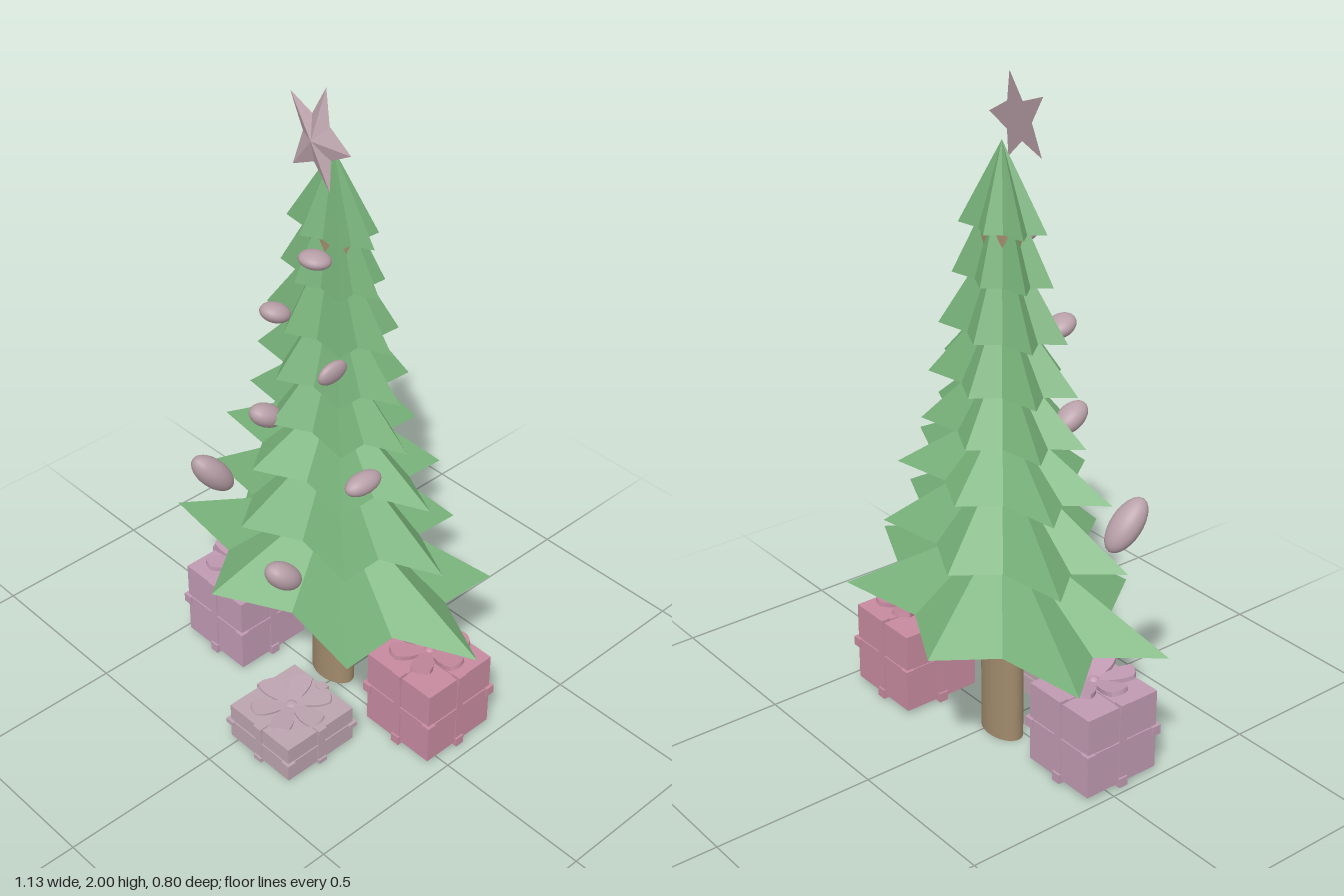
import * as THREE from 'three';

const mat = (color, flatShading = false) => new THREE.MeshStandardMaterial({ color, flatShading });
const green = mat(0x76b078, true);
const bark = mat(0xa08a6c);
const silver = mat(0xb8a0a8);
const silverFlat = mat(0xb8a0a8, true);

function add(parent, name, geometry, material, x = 0, y = 0, z = 0) {
  const mesh = new THREE.Mesh(geometry, material);
  mesh.name = name;
  mesh.position.set(x, y, z);
  parent.add(mesh);
  return mesh;
}

// Seven-pointed cone: every second base corner is pulled inwards
function starCone() {
  const geo = new THREE.ConeGeometry(1, 1, 14, 1, false, Math.PI / 2);
  geo.translate(0, 0.5, 0);
  const p = geo.attributes.position;
  for (let i = 0; i < p.count; i++) {
    if (p.getY(i) > 0.5) continue;
    const k = Math.round(Math.atan2(p.getZ(i), p.getX(i)) / (Math.PI / 7));
    if (k % 2 !== 0) p.setXYZ(i, p.getX(i) * 0.678, p.getY(i), p.getZ(i) * 0.678);
  }
  geo.computeVertexNormals();
  return geo;
}

function makeTree() {
  const tree = new THREE.Group();
  tree.name = 'tree';
  tree.position.set(-0.033, 0, -0.034);
  const trunk = add(tree, 'trunk', new THREE.CylinderGeometry(0.079, 0.079, 1.6, 32), bark, 0, 0.8, 0);
  trunk.scale.z = 0.63;
  // base height, apex height, x radius, z radius
  const tiers = [
    [0.44, 0.70, 0.593, 0.374], [0.66, 0.925, 0.448, 0.277], [0.855, 1.06, 0.39, 0.239],
    [1.0, 1.24, 0.296, 0.184], [1.146, 1.41, 0.264, 0.167], [1.292, 1.59, 0.228, 0.141],
    [1.442, 1.74, 0.179, 0.109], [1.585, 1.82, 0.157, 0.093],
  ];
  const cone = starCone();
  tiers.forEach(([y, top, rx, rz], i) => {
    add(tree, `branchTier${i + 1}`, cone, green, 0, y, 0).scale.set(rx, top - y, rz);
  });
  return tree;
}

// Leaning five-pointed star, flat at the back and raised to a point in front
function makeStar() {
  const c = [-0.037, 1.866];
  const tips = [[0.003, 0.134], [-0.123, 0.087], [-0.076, -0.094], [0.071, -0.121], [0.124, -0.004]];
  const onPlane = (x, y) => [c[0] + x, c[1] + y, 0.017 - 0.2 * y];
  const rim = [];
  tips.forEach((t, i) => {
    const opposite = tips[(i + 3) % 5];
    rim.push(onPlane(...t), onPlane(-0.46 * opposite[0], -0.46 * opposite[1]));
  });
  const front = [c[0], c[1], 0.042], back = onPlane(0, 0), v = [];
  rim.forEach((a, i) => {
    const b = rim[(i + 1) % 10];
    v.push(...front, ...a, ...b, ...back, ...b, ...a);
  });
  const geo = new THREE.BufferGeometry();
  geo.setAttribute('position', new THREE.Float32BufferAttribute(v, 3));
  geo.computeVertexNormals();
  return geo;
}

// One bow loop, lying flat and pointing along +x
function petalGeometry() {
  const s = new THREE.Shape();
  s.moveTo(0, -0.008);
  s.bezierCurveTo(0.04, -0.016, 0.07, -0.04, 0.115, -0.03);
  s.quadraticCurveTo(0.135, 0, 0.115, 0.03);
  s.bezierCurveTo(0.07, 0.04, 0.04, 0.016, 0, 0.008);
  const geo = new THREE.ExtrudeGeometry(s, { depth: 0.014, bevelEnabled: false, curveSegments: 8 });
  geo.rotateX(-Math.PI / 2);
  return geo;
}

function makeGift(name, color, x, z, squash) {
  const gift = new THREE.Group();
  gift.name = name;
  gift.position.set(x, 0.003, z);
  gift.scale.y = squash;
  const m = mat(color), size = 0.256, h = size / 2, mid = h + 0.01;
  add(gift, 'box', new THREE.BoxGeometry(size, size, size), m, 0, mid, 0);

  // Three ribbon bands with a small fold over the middle of every edge
  const band = size + 0.008, w = 0.026;
  const fold = new THREE.BoxGeometry(0.03, 0.03, 0.03);
  for (let axis = 0; axis < 3; axis++) {
    const dims = [band, band, band];
    dims[axis] = w;
    add(gift, 'ribbon', new THREE.BoxGeometry(...dims), m, 0, mid, 0);
    for (const a of [-1, 1]) for (const b of [-1, 1]) {
      const pos = [0, 0, 0];
      pos[(axis + 1) % 3] = a * (h - 0.005);
      pos[(axis + 2) % 3] = b * (h - 0.005);
      add(gift, 'ribbonFold', fold, m, pos[0], mid + pos[1], pos[2]);
    }
  }

  // Bow of six upward-tilted loops round a knot
  const petal = petalGeometry();
  for (let i = 0; i < 6; i++) {
    const loop = add(gift, 'bowLoop', petal, m, 0, mid + h + 0.008, 0);
    loop.rotation.set(0, i * Math.PI / 3, 0.22);
  }
  add(gift, 'bowKnot', new THREE.SphereGeometry(0.02, 16, 10), m, 0, mid + h + 0.014, 0);
  return gift;
}

export function createModel() {
  const model = new THREE.Group();
  model.name = 'decoratedTree';
  model.add(makeTree());
  add(model, 'topStar', makeStar(), silverFlat);

  // Egg-shaped ornaments: position, half sizes, tilt about x, lean about z
  const ball = new THREE.SphereGeometry(1, 24, 16);
  [
    [-0.004, 1.54, 0.06, 0.046, 0.024, 0.045, -0.2, 0],
    [-0.155, 1.31, 0.07, 0.042, 0.028, 0.048, -0.4, 0],
    [0.085, 1.235, 0.08, 0.02, 0.036, 0.05, 0, -0.2],
    [-0.128, 1.01, 0.135, 0.041, 0.034, 0.06, -0.55, 0],
    [0.198, 0.92, 0.07, 0.034, 0.031, 0.062, 0, 0],
    [-0.313, 0.73, 0.188, 0.048, 0.042, 0.09, -0.9, 0.12],
    [0, 0.535, 0.195, 0.046, 0.04, 0.068, -0.75, 0.15],
  ].forEach(([x, y, z, sx, sy, sz, rx, rz], i) => {
    const o = add(model, `ornament${i + 1}`, ball, silver, x, y, z);
    o.scale.set(sx, sy, sz);
    o.rotation.set(rx, 0, rz, 'ZYX');
  });

  model.add(
    makeGift('rightGift', 0xc09ab2, -0.346, 0.05, 1),
    makeGift('leftGift', 0xc68a9f, 0.328, -0.085, 1),
    makeGift('frontGift', 0xbba3ae, 0.103, 0.262, 0.48),
  );
  return model;
}
